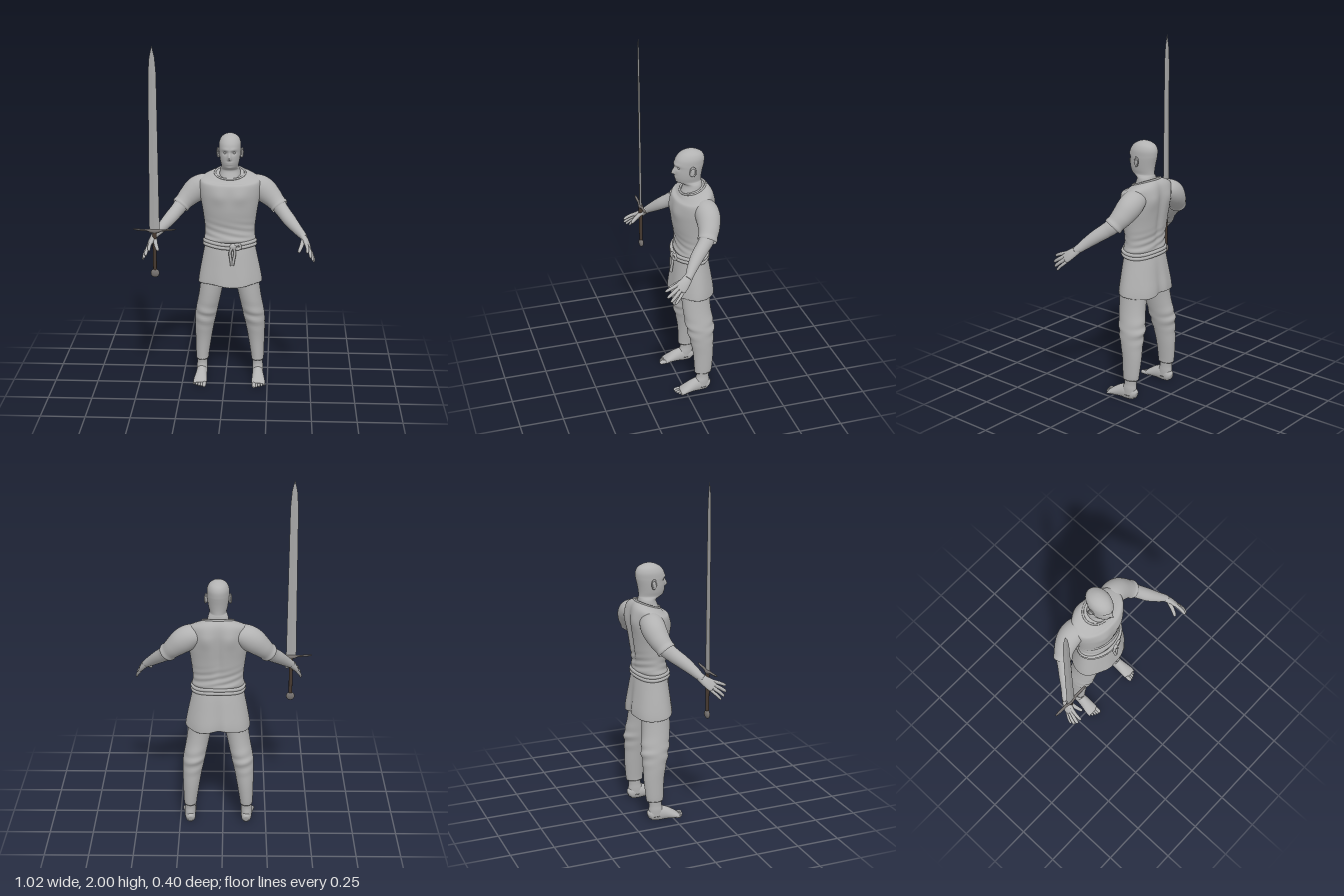
import * as THREE from 'three';

const V = (x, y, z) => new THREE.Vector3(x, y, z);
const gauss = (d, w) => Math.exp(-(d * d) / (w * w));
const clay = new THREE.MeshStandardMaterial({ color: 0xb2b2b2, side: THREE.DoubleSide });
clay.name = 'pale grey';
const steel = new THREE.MeshStandardMaterial({ color: 0xa6a6a6 });
steel.name = 'blade steel';
const iron = new THREE.MeshStandardMaterial({ color: 0x74706e });
iron.name = 'dark iron';
const leather = new THREE.MeshStandardMaterial({ color: 0x46392f });
leather.name = 'grip brown';

// Smooth skin over elliptical sections [x, y, z, r1, r2].
// Without ref the sections lie flat (list them upwards); with ref they stand across the path.
function loft(sections, { n = 40, steps = 6, ref = null, deform = null, caps = true } = {}) {
  const path = new THREE.CatmullRomCurve3(sections.map(s => V(s[0], s[1], s[2])), false, 'catmullrom');
  const size = new THREE.CatmullRomCurve3(sections.map(s => V(s[3], s[4], 0)), false, 'catmullrom');
  const rows = (sections.length - 1) * steps, pos = [], idx = [];
  const put = p => { if (deform) deform(p); pos.push(p.x, p.y, p.z); };
  for (let i = 0; i <= rows; i++) {
    const c = path.getPoint(i / rows), r = size.getPoint(i / rows);
    const t = ref ? path.getTangent(i / rows) : V(0, 1, 0);
    const side = ref ? V(0, 0, 0).crossVectors(t, ref).normalize() : V(1, 0, 0);
    const up = V(0, 0, 0).crossVectors(side, t);
    for (let j = 0; j < n; j++) {
      const a = j / n * Math.PI * 2;
      put(c.clone().addScaledVector(side, Math.cos(a) * r.x).addScaledVector(up, Math.sin(a) * r.y));
      if (i < rows) {
        const p = i * n + j, q = i * n + (j + 1) % n;
        idx.push(p, p + n, q, q, p + n, q + n);
      }
    }
  }
  if (caps) {
    const b = (rows + 1) * n, last = rows * n;
    put(path.getPoint(0));
    put(path.getPoint(1));
    for (let j = 0; j < n; j++) {
      const k = (j + 1) % n;
      idx.push(b, j, k, b + 1, last + k, last + j);
    }
  }
  const g = new THREE.BufferGeometry();
  g.setAttribute('position', new THREE.Float32BufferAttribute(pos, 3));
  g.setIndex(idx);
  g.computeVertexNormals();
  return g;
}

// Level sections given as [y, half width, front z, back z]
const level = rows => rows.map(([y, w, f, b]) => [0, y, (f + b) / 2, w, (f - b) / 2]);

function add(parent, name, geometry, material = clay) {
  const m = new THREE.Mesh(geometry, material);
  m.name = name;
  parent.add(m);
  return m;
}

const cord = (pts, r, closed = false) => new THREE.TubeGeometry(
  new THREE.CatmullRomCurve3(pts, closed), pts.length * 5, r, 8, closed);

// Elliptical cord around the body, its height a function of the angle
const hoop = (w, f, b, r, height) => cord(Array.from({ length: 24 }, (_, i) => {
  const a = i / 24 * Math.PI * 2;
  return V(Math.cos(a) * w, height(a), (f + b) / 2 + Math.sin(a) * (f - b) / 2);
}), r, true);

function buildHead(body) {
  const face = p => {
    if (p.z < -0.04) return;
    const ax = Math.abs(p.x);
    const bridge = THREE.MathUtils.smoothstep(p.y, 1.346, 1.358) * (1 - THREE.MathUtils.smoothstep(p.y, 1.358, 1.408));
    p.z += 0.019 * gauss(p.x, 0.009) * bridge;                                     // nose
    p.z -= 0.009 * gauss(ax - 0.024, 0.014) * gauss(p.y - 1.393, 0.011);           // eye sockets
    p.z += 0.004 * gauss(ax - 0.022, 0.02) * gauss(p.y - 1.412, 0.008);            // brows
    p.z += 0.005 * gauss(p.x, 0.02) * (gauss(p.y - 1.337, 0.005) + gauss(p.y - 1.326, 0.005)); // lips
    p.z += 0.005 * gauss(p.x, 0.018) * gauss(p.y - 1.308, 0.009);                  // chin
  };
  add(body, 'head', loft(level([
    [1.2, 0.07, 0, -0.15], [1.25, 0.061, -0.025, -0.145], [1.282, 0.056, -0.034, -0.137],
    [1.296, 0.05, -0.012, -0.135], [1.306, 0.047, 0.006, -0.133], [1.33, 0.053, 0.015, -0.134],
    [1.36, 0.058, 0.019, -0.139], [1.39, 0.061, 0.019, -0.146], [1.41, 0.062, 0.021, -0.15],
    [1.44, 0.061, 0.013, -0.151], [1.465, 0.051, -0.006, -0.14], [1.48, 0.035, -0.03, -0.116],
    [1.488, 0.017, -0.053, -0.093], [1.49, 0.001, -0.072, -0.074],
  ]), { n: 96, deform: face }));
  for (const s of [-1, 1]) {
    add(body, 'eye', new THREE.SphereGeometry(0.009, 16, 12)).position.set(s * 0.024, 1.393, -0.001);
    const ear = add(body, 'ear', new THREE.SphereGeometry(1, 16, 12));
    ear.scale.set(0.007, 0.028, 0.017);
    ear.position.set(s * 0.064, 1.378, -0.066);
    ear.rotation.set(-0.2, s * -0.35, 0);
    const rim = add(body, 'earRim', new THREE.TorusGeometry(0.015, 0.004, 6, 18));
    rim.scale.set(1, 1.6, 1);
    rim.position.set(s * 0.068, 1.38, -0.068);
    rim.rotation.y = Math.PI / 2 - s * 0.35;
  }
}

function buildClothes(body) {
  add(body, 'shirt', loft(level([
    [0.862, 0.138, 0.012, -0.158], [0.88, 0.148, 0.022, -0.168], [0.905, 0.143, 0.016, -0.166],
    [0.95, 0.144, 0.014, -0.168], [1, 0.15, 0.022, -0.176], [1.05, 0.157, 0.03, -0.183],
    [1.1, 0.166, 0.033, -0.19], [1.15, 0.174, 0.033, -0.194], [1.2, 0.176, 0.026, -0.194],
    [1.235, 0.166, 0.006, -0.187], [1.26, 0.122, -0.006, -0.17], [1.272, 0.086, -0.018, -0.155],
  ]), {
    n: 72, deform: p => {
      const ax = Math.abs(p.x);
      if (p.z < -0.1) {
        p.z += 0.014 * gauss(p.x, 0.022) * gauss(p.y - 1.08, 0.16);                // spine
        p.z -= 0.012 * gauss(ax - 0.07, 0.04) * gauss(p.y - 1.18, 0.055);          // shoulder blades
      } else {
        p.z += 0.009 * gauss(ax - 0.06, 0.045) * gauss(p.y - 1.14, 0.045);         // chest
      }
      p.z += 0.003 * Math.sin(p.y * 150 + p.x * 35) * gauss(p.y - 0.93, 0.05);     // folds
      p.y -= 0.34 * (p.z + 0.125) * THREE.MathUtils.smoothstep(p.y, 1.2, 1.268);   // sloping neckline
    },
  }));
  add(body, 'collar', hoop(0.086, -0.016, -0.155, 0.006, a => 1.259 - Math.sin(a) * 0.024));
  add(body, 'skirt', loft(level([
    [0.615, 0.182, 0.047, -0.2], [0.622, 0.184, 0.05, -0.203], [0.66, 0.179, 0.046, -0.2],
    [0.72, 0.168, 0.038, -0.19], [0.8, 0.152, 0.027, -0.176], [0.872, 0.139, 0.014, -0.16],
  ]), {
    n: 72, caps: false, deform: p => {
      const k = (0.87 - p.y) / 0.25, a = Math.atan2(p.z + 0.08, p.x);
      const f = 1 + 0.018 * k * Math.sin(a * 7 + 1);
      p.x *= f;
      p.z = -0.077 + (p.z + 0.077) * f;
      if (p.z < -0.1) p.z += 0.02 * k * gauss(p.x, 0.03);                          // back pleat
      p.y += 0.007 * k * Math.sin(a * 3 + 0.6);
    },
  }));
  // Doubled rope belt with its knot and hanging ends
  for (const y of [0.865, 0.845]) {
    add(body, 'belt', hoop(0.146, 0.028, -0.168, 0.0105, a => y + 0.004 * Math.sin(a * 3)));
  }
  const knot = add(body, 'beltKnot', new THREE.SphereGeometry(0.018, 16, 12));
  knot.scale.set(1.1, 0.9, 0.8);
  knot.position.set(0.022, 0.855, 0.036);
  add(body, 'beltLoop', cord([V(0.025, 0.86, 0.038), V(0.055, 0.868, 0.032), V(0.064, 0.852, 0.028), V(0.05, 0.84, 0.034), V(0.025, 0.85, 0.04)], 0.008));
  add(body, 'beltEnd', cord([V(0.016, 0.85, 0.042), V(0.005, 0.82, 0.042), V(0.01, 0.78, 0.044), V(0.014, 0.745, 0.046)], 0.008));
  add(body, 'beltEnd', cord([V(0.026, 0.85, 0.042), V(0.032, 0.82, 0.041), V(0.026, 0.78, 0.043), V(0.02, 0.745, 0.046)], 0.008));
  add(body, 'pelvis', loft(level([[0.665, 0.05, -0.03, -0.125], [0.7, 0.11, 0, -0.155], [0.78, 0.13, 0.005, -0.155], [0.84, 0.125, 0, -0.15]])));
}

function buildArm(body, s) {
  const mirror = rows => rows.map(([x, ...rest]) => [s * x, ...rest]);
  const ref = V(0, 0.2, 1), palmRef = V(s * 0.83, 0.48, 0.06);
  add(body, 'sleeve', loft(mirror([
    [0.1, 1.19, -0.112, 0.045, 0.055], [0.15, 1.178, -0.116, 0.066, 0.067], [0.195, 1.15, -0.116, 0.071, 0.067],
    [0.238, 1.112, -0.106, 0.06, 0.06], [0.268, 1.081, -0.091, 0.051, 0.053], [0.28, 1.068, -0.084, 0.053, 0.055],
    [0.286, 1.061, -0.08, 0.05, 0.052],
  ]), { ref, caps: false }));
  add(body, 'arm', loft(mirror([
    [0.22, 1.13, -0.11, 0.043, 0.045], [0.274, 1.073, -0.085, 0.042, 0.044], [0.304, 1.04, -0.052, 0.038, 0.041],
    [0.34, 1.004, -0.008, 0.037, 0.037], [0.38, 0.966, 0.032, 0.029, 0.03], [0.413, 0.936, 0.06, 0.022, 0.023],
    [0.422, 0.926, 0.072, 0.02, 0.02],
  ]), { ref: V(0, 1, 0.3) }));
  const hand = new THREE.Group();
  hand.name = 'hand';
  body.add(hand);
  add(hand, 'palm', loft(mirror([
    [0.41, 0.939, 0.056, 0.022, 0.019], [0.431, 0.911, 0.088, 0.03, 0.017],
    [0.444, 0.888, 0.117, 0.035, 0.013], [0.449, 0.879, 0.128, 0.029, 0.009],
  ]), { n: 24, ref: palmRef }));
  // Knuckle, tip and radius of each finger
  const fingers = [
    [0.433, 0.907, 0.128, 0.439, 0.876, 0.203, 0.0095], [0.442, 0.892, 0.126, 0.459, 0.846, 0.197, 0.01],
    [0.45, 0.877, 0.12, 0.472, 0.825, 0.181, 0.0095], [0.456, 0.862, 0.11, 0.479, 0.81, 0.16, 0.008],
    [0.418, 0.922, 0.085, 0.392, 0.867, 0.168, 0.0115],
  ];
  for (const [ax, ay, az, bx, by, bz, r] of fingers) {
    const at = (t, bend, k) => [ax + (bx - ax) * t + bend * 0.8, ay + (by - ay) * t + bend * 0.5, az + (bz - az) * t, r * k, r * k];
    add(hand, 'finger', loft(mirror([at(-0.15, 0, 1), at(0.25, 0.003, 1.05), at(0.5, 0.005, 1), at(0.8, 0.003, 0.9), at(0.95, 0, 0.65), at(1, 0, 0.2)]),
      { n: 12, steps: 3, ref: palmRef }));
  }
}

function buildLeg(body, s) {
  const mirror = rows => rows.map(([x, ...rest]) => [s * x, ...rest]);
  add(body, 'trouserLeg', loft(mirror([
    [0.163, 0.125, -0.105, 0.036, 0.05], [0.162, 0.16, -0.107, 0.039, 0.053], [0.156, 0.25, -0.108, 0.047, 0.06],
    [0.15, 0.33, -0.102, 0.055, 0.068], [0.14, 0.41, -0.095, 0.063, 0.08], [0.133, 0.45, -0.091, 0.064, 0.083],
    [0.117, 0.53, -0.08, 0.065, 0.082], [0.103, 0.61, -0.076, 0.068, 0.083], [0.088, 0.7, -0.077, 0.074, 0.086],
    [0.075, 0.8, -0.08, 0.065, 0.075],
  ]), { deform: p => { p.z += 0.005 * Math.sin(p.y * 95 + p.x * 20) * gauss(p.y - 0.41, 0.06); } }));
  const ground = p => { p.y = Math.max(p.y, 0.002); };
  const foot = new THREE.Group();
  foot.name = 'foot';
  body.add(foot);
  add(foot, 'ankle', loft(mirror([
    [0.165, 0.03, -0.095, 0.031, 0.05], [0.165, 0.07, -0.1, 0.032, 0.043], [0.164, 0.1, -0.104, 0.03, 0.037],
    [0.163, 0.15, -0.106, 0.031, 0.042],
  ]), { n: 24 }));
  add(foot, 'sole', loft(mirror([
    [0.163, 0.03, -0.146, 0.014, 0.018], [0.163, 0.036, -0.13, 0.027, 0.035], [0.165, 0.042, -0.085, 0.031, 0.045],
    [0.167, 0.038, -0.045, 0.034, 0.038], [0.17, 0.025, 0, 0.039, 0.025], [0.172, 0.017, 0.025, 0.039, 0.016],
    [0.172, 0.013, 0.035, 0.032, 0.01],
  ]), { n: 28, ref: V(0, 1, 0), deform: ground }));
  for (let i = 0; i < 5; i++) {
    const x = 0.145 + i * 0.0148, r = i ? 0.0085 - i * 0.0004 : 0.0115, tip = 0.068 - i * i * 0.0018;
    add(foot, 'toe', loft(mirror([
      [x, 0.014, 0.01, r, r], [x, 0.014, tip - 0.018, r, r], [x + 0.001, 0.011, tip - 0.004, r * 0.85, r * 0.8], [x + 0.001, 0.009, tip, r * 0.3, r * 0.3],
    ]), { n: 12, steps: 3, ref: V(0, 1, 0), deform: ground }));
  }
}

function buildSword() {
  const sword = new THREE.Group();
  sword.name = 'sword';
  const blade = loft([
    [0, 0.95, 0, 0.029, 0.005], [0, 1.85, 0, 0.022, 0.004], [0, 1.94, 0, 0.015, 0.003], [0, 2, 0, 0.001, 0.001],
  ], { n: 4, steps: 1 }).toNonIndexed();
  blade.computeVertexNormals();
  add(sword, 'blade', blade, steel);
  add(sword, 'crossGuard', loft([
    [-0.12, 0.973, 0, 0.004, 0.003], [-0.09, 0.969, 0, 0.008, 0.005], [-0.04, 0.966, 0, 0.008, 0.006], [0, 0.961, 0, 0.014, 0.013],
    [0.04, 0.966, 0, 0.008, 0.006], [0.09, 0.969, 0, 0.008, 0.005], [0.12, 0.973, 0, 0.004, 0.003],
  ], { n: 12, ref: V(0, 1, 0) }), iron);
  add(sword, 'grip', new THREE.CylinderGeometry(0.012, 0.01, 0.225, 16), leather).position.y = 0.848;
  const pommel = add(sword, 'pommel', new THREE.SphereGeometry(0.025, 24, 16), iron);
  pommel.scale.z = 0.55;
  pommel.position.y = 0.714;
  sword.position.set(-0.39, 0, 0.103);
  return sword;
}

export function createModel() {
  const model = new THREE.Group(), body = new THREE.Group();
  model.name = 'swordsman';
  body.name = 'body';
  body.position.x = 0.027;
  buildHead(body);
  buildClothes(body);
  for (const s of [-1, 1]) {
    buildArm(body, s);
    buildLeg(body, s);
  }
  model.add(body, buildSword());
  return model;
}
